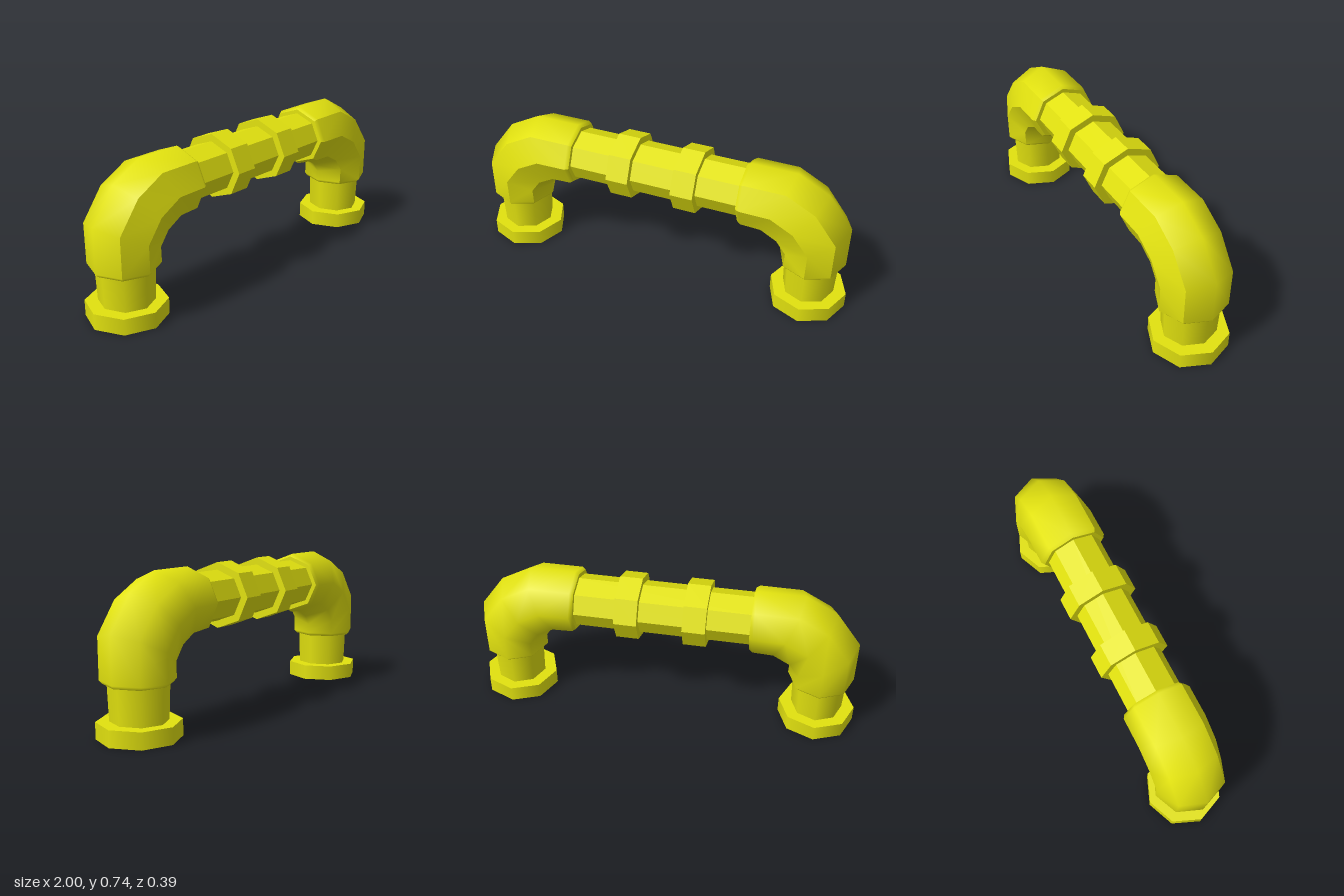
import * as THREE from 'three';

const SIDES = 8;
const yellow = new THREE.MeshStandardMaterial({ color: 0xe2e20f, side: THREE.DoubleSide });
yellow.name = 'yellow';

function part(name, geometry) {
  const mesh = new THREE.Mesh(geometry, yellow);
  mesh.name = name;
  return mesh;
}

// Faceted eight-sided bar along x, slightly deeper in z than in y
function bar(name, x, length, ry, rz) {
  const g = new THREE.CylinderGeometry(1, 1, length, SIDES).toNonIndexed();
  g.rotateZ(Math.PI / 2);
  g.scale(1, ry, rz);
  g.computeVertexNormals();
  const mesh = part(name, g);
  mesh.position.set(x, 0.58, 0);
  return mesh;
}

// Skin over octagonal sections [outerX, outerY, innerX, innerY, halfDepth],
// covering the corners from first to last; side mirrors it in x
function loft(sections, side, first = 0, last = SIDES) {
  const pos = [], index = [], n = last - first + 1;
  sections.forEach(([ox, oy, ix, iy, depth], i) => {
    for (let j = 0; j < n; j++) {
      const a = ((first + j) / SIDES) * Math.PI * 2;
      const c = Math.cos(a) / 2;
      pos.push(side * ((ox + ix) / 2 + (ox - ix) * c), (oy + iy) / 2 + (oy - iy) * c, depth * Math.sin(a));
      if (i === 0 || j === 0) continue;
      const q = i * n + j, p = q - n;
      if (side > 0) index.push(p - 1, p, q - 1, p, q, q - 1);
      else index.push(p - 1, q - 1, p, p, q - 1, q);
    }
  });
  const g = new THREE.BufferGeometry();
  g.setAttribute('position', new THREE.Float32BufferAttribute(pos, 3));
  g.setIndex(index);
  g.computeVertexNormals();
  return g;
}

const ELBOW = [
  [0.44, 0.727, 0.44, 0.43, 0.166],
  [0.458, 0.74, 0.458, 0.415, 0.178],
  [0.69, 0.74, 0.54, 0.41, 0.178],
  [0.85, 0.655, 0.61, 0.37, 0.178],
  [0.975, 0.49, 0.645, 0.32, 0.177],
  [0.975, 0.268, 0.642, 0.268, 0.176],
  [0.963, 0.252, 0.655, 0.252, 0.162],
];
const BAR_LIP = [[0.44, 0.70, 0.44, 0.46, 0.135], ELBOW[0]];
const LEG_LIP = [ELBOW[6], [0.935, 0.252, 0.675, 0.252, 0.135]];

function foot(side) {
  const group = new THREE.Group();
  group.name = side > 0 ? 'leftFoot' : 'rightFoot';

  // Elbow, smooth except for the creased front panel
  const elbow = new THREE.Group();
  elbow.name = 'elbow';
  [[1, 2], [2, 3], [3, 9]].forEach(([a, b]) => elbow.add(part('elbowSkin', loft(ELBOW, side, a, b))));
  elbow.add(part('elbowBarLip', loft(BAR_LIP, side)));
  elbow.add(part('elbowLegLip', loft(LEG_LIP, side)));
  group.add(elbow);

  // Hollow tapered leg
  const leg = part('leg', new THREE.CylinderGeometry(0.144, 0.137, 0.18, SIDES, 1, true));
  leg.scale.x = 0.95;
  leg.position.set(side * 0.805, 0.167, 0);
  group.add(leg);

  // Open flange with a ring-shaped top
  const flange = part('flange', new THREE.CylinderGeometry(0.195, 0.195, 0.08, SIDES, 1, true));
  flange.position.set(side * 0.805, 0.04, 0);
  const top = part('flangeTop', new THREE.RingGeometry(0.128, 0.195, SIDES).rotateX(-Math.PI / 2));
  top.position.set(side * 0.805, 0.08, 0);
  group.add(flange, top);
  return group;
}

export function createModel() {
  const model = new THREE.Group();
  model.name = 'pipeHandle';
  model.add(bar('gripBar', 0, 0.92, 0.126, 0.143));
  for (const side of [1, -1]) {
    model.add(bar(side > 0 ? 'leftCollar' : 'rightCollar', side * 0.17, 0.115, 0.163, 0.181));
    model.add(foot(side));
  }
  return model;
}
